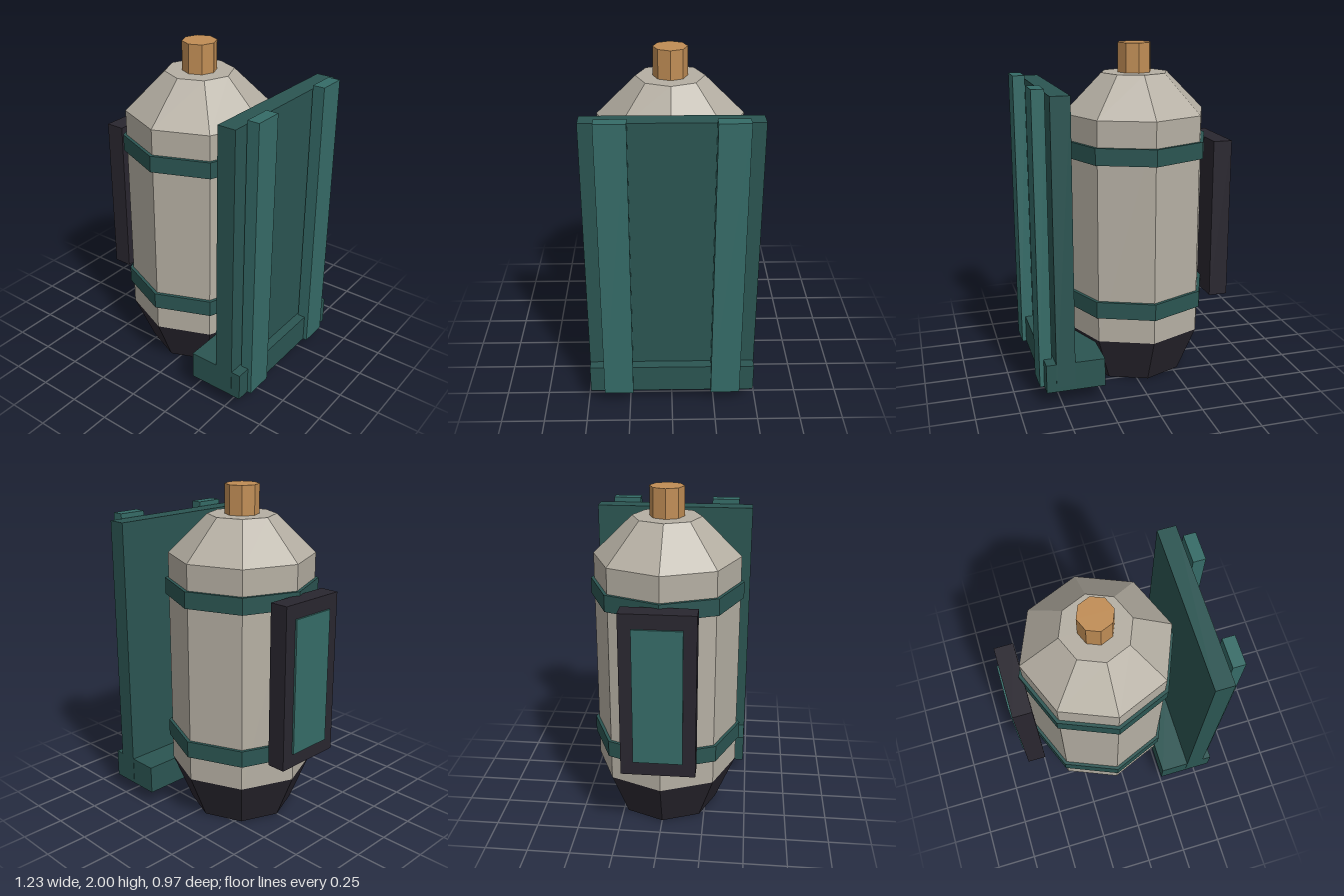
import * as THREE from 'three';

const material = (color) => new THREE.MeshStandardMaterial({ color, flatShading: true });

export function createModel() {
  const group = new THREE.Group();
  const shell = material(0xb5afa3);
  const dark = material(0x29262f);
  const teal = material(0x2b5552);
  const lightTeal = material(0x356b67);
  const brass = material(0xc08d55);
  const axisX = -0.063; // centre line of the canister

  function add(name, geometry, mat, x, y, z) {
    const mesh = new THREE.Mesh(geometry, mat);
    mesh.name = name;
    mesh.position.set(x, y, z);
    group.add(mesh);
  }

  // Eight-sided section of the canister between two heights
  function section(name, rBottom, rTop, y0, y1, mat) {
    add(name, new THREE.CylinderGeometry(rTop, rBottom, y1 - y0, 8), mat, axisX, (y0 + y1) / 2, 0);
  }

  // Box given by its limits along each axis
  function block(name, [x0, x1], [y0, y1], [z0, z1], mat) {
    add(name, new THREE.BoxGeometry(x1 - x0, y1 - y0, z1 - z0), mat,
      (x0 + x1) / 2, (y0 + y1) / 2, (z0 + z1) / 2);
  }

  // Canister
  section('base', 0.312, 0.43, 0, 0.285, dark);
  section('body', 0.43, 0.43, 0.285, 1.603, shell);
  section('shoulder', 0.43, 0.2, 1.603, 1.83, shell);
  section('nozzle', 0.1, 0.1, 1.83, 2, brass);
  section('lowerBand', 0.45, 0.45, 0.44, 0.54, teal);
  section('upperBand', 0.45, 0.45, 1.355, 1.453, teal);

  // Upright plate on its foot, with two rails outside
  block('foot', [0.25, 0.592], [0.09, 0.26], [-0.483, 0.483], teal);
  block('backPlate', [0.425, 0.535], [0.118, 1.773], [-0.485, 0.485], teal);
  for (const [name, z] of [['frontRail', 0.315], ['rearRail', -0.315]]) {
    block(name, [0.545, 0.617], [0.09, 1.8], [z - 0.085, z + 0.085], lightTeal);
  }

  // Side panel with its inset face
  block('panelHousing', [-0.605, -0.492], [0.46, 1.43], [-0.213, 0.213], dark);
  block('panelFace', [-0.617, -0.6], [0.545, 1.345], [-0.14, 0.14], lightTeal);

  return group;
}
